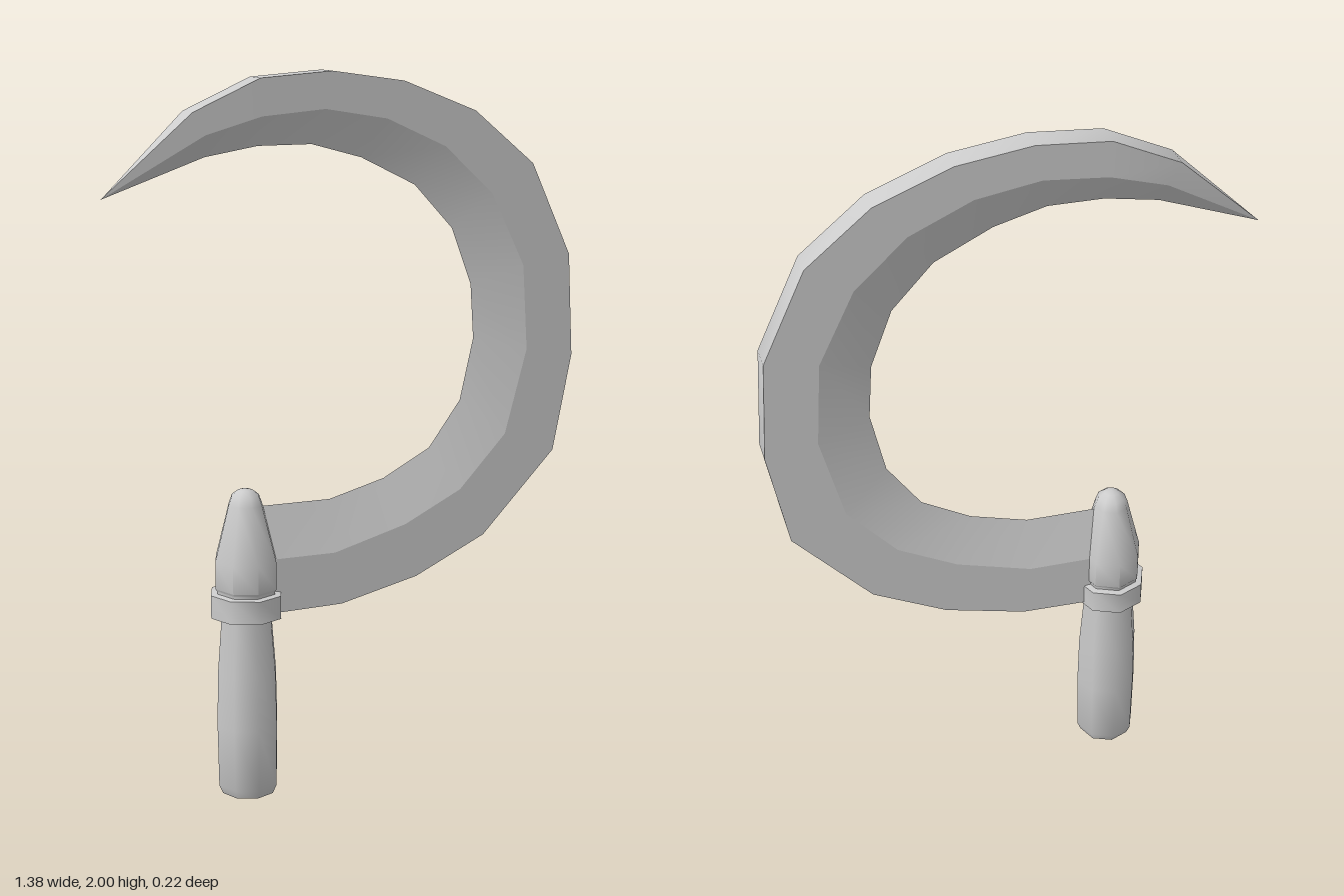
import * as THREE from 'three';
import { mergeGeometries, toCreasedNormals } from 'three/addons/utils/BufferGeometryUtils.js';

export function createModel() {
  const steel = new THREE.MeshStandardMaterial({ color: 0xcccccc });
  steel.name = 'light grey';
  const group = new THREE.Group();
  group.name = 'sickle';

  // Blade stations from root to tip: spine x,y, ridge x,y, cutting edge x,y
  const stations = [
    [-0.29, 0.52, -0.29, 0.675, -0.29, 0.82],
    [-0.03, 0.525, -0.05, 0.675, -0.05, 0.82],
    [0.2, 0.58, 0.165, 0.735, 0.115, 0.865],
    [0.41, 0.68, 0.335, 0.82, 0.255, 0.94],
    [0.63, 0.91, 0.475, 0.97, 0.35, 1.07],
    [0.685, 1.185, 0.54, 1.21, 0.39, 1.245],
    [0.67, 1.475, 0.525, 1.45, 0.38, 1.4],
    [0.55, 1.735, 0.425, 1.655, 0.32, 1.56],
    [0.37, 1.885, 0.28, 1.79, 0.205, 1.685],
    [0.155, 1.97, 0.105, 1.87, 0.045, 1.765],
    [-0.055, 2.0, -0.075, 1.9, -0.1, 1.805],
    [-0.26, 1.985, -0.255, 1.885, -0.255, 1.805],
    [-0.45, 1.9, -0.415, 1.84, -0.405, 1.78],
    [-0.69, 1.68, -0.69, 1.68, -0.69, 1.68],
  ];
  const last = stations.length - 1;
  const rail = (k, z) => stations.map((s, i) => [s[2 * k], s[2 * k + 1], i === last ? 0 : z]);

  // Band of quads between two rails, smooth along its length
  const strip = (a, b) => {
    const n = a.length, index = [];
    for (let i = 0; i < n - 1; i++) {
      index.push(i, i + 1, n + i + 1, i, n + i + 1, n + i);
    }
    const g = new THREE.BufferGeometry();
    g.setAttribute('position', new THREE.Float32BufferAttribute([...a, ...b].flat(), 3));
    g.setIndex(index);
    g.computeVertexNormals();
    return g;
  };

  const t = 0.04; // half thickness of the spine
  const edge = rail(2, 0);
  const blade = new THREE.Mesh(mergeGeometries([
    strip(rail(0, t), rail(1, t)),    // front flat
    strip(rail(1, t), edge),          // front bevel
    strip(edge, rail(1, -t)),         // back bevel
    strip(rail(1, -t), rail(0, -t)),  // back flat
    strip(rail(0, -t), rail(0, t)),   // spine
  ]), steel);
  blade.name = 'blade';
  group.add(blade);

  // Eight-sided turned parts of the handle; profiles are radius, height
  const turned = (name, profile, scaleX) => {
    const points = profile.map(([r, y]) => new THREE.Vector2(r, y));
    const mesh = new THREE.Mesh(toCreasedNormals(new THREE.LatheGeometry(points, 8), 0.85), steel);
    mesh.name = name;
    mesh.position.x = -0.3;
    mesh.scale.x = scaleX;
    group.add(mesh);
  };
  turned('grip', [[0, 0], [0.077, 0], [0.088, 0.025], [0.091, 0.2], [0.088, 0.35],
    [0.076, 0.5], [0.076, 0.53]], 0.98);
  turned('collar', [[0, 0.515], [0.11, 0.515], [0.11, 0.58], [0.095, 0.583], [0, 0.583]], 0.94);
  turned('ferrule', [[0.092, 0.57], [0.092, 0.59], [0.097, 0.597], [0.097, 0.675],
    [0.053, 0.83], [0.043, 0.855], [0.022, 0.87], [0, 0.875]], 0.92);

  return group;
}
